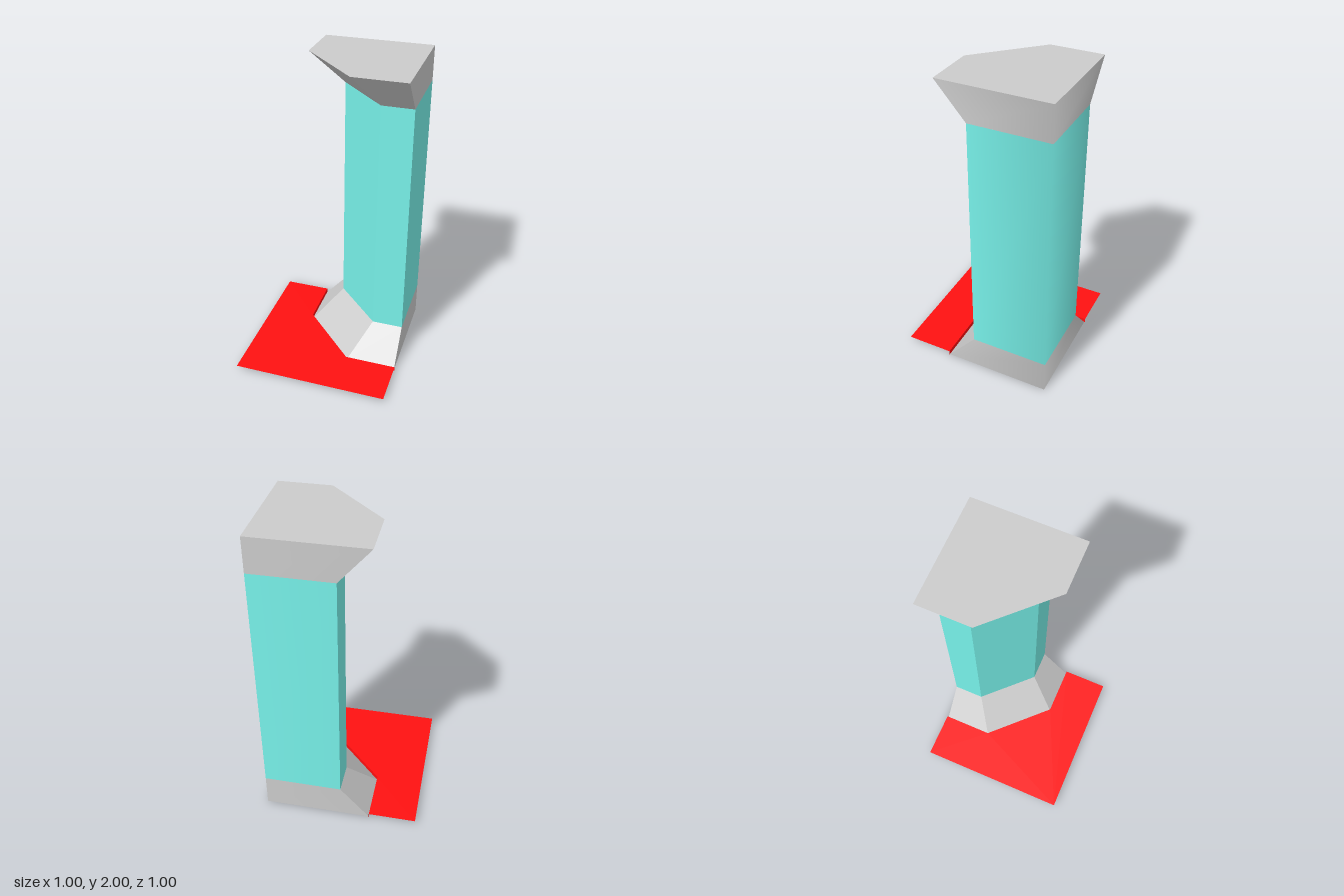
import * as THREE from 'three';

const BACK = 0.495;   // outer faces at x = BACK and z = -BACK
const FLOOR_Y = 0.03;

// Square corner outline with a chamfered inner corner, as [x, z] points.
const outline = (reach, chamfer) => [
  [-reach, -BACK], [BACK, -BACK], [BACK, reach], [chamfer, reach], [-reach, -chamfer],
];
const WIDE = outline(0.195, 0.165);
const NARROW = outline(0.005, 0.295);

// Solid between two outlines; the two outer walls share a softened corner.
function frustum(name, low, y0, high, y1, color) {
  const positions = [], normals = [];
  const soft = new THREE.Vector3(1, 0, -1).normalize();
  const tri = (pts, isSoft = [false, false, false]) => {
    const flat = new THREE.Triangle(...pts).getNormal(new THREE.Vector3());
    pts.forEach((p, i) => {
      positions.push(p.x, p.y, p.z);
      normals.push(...(isSoft[i] ? soft : flat).toArray());
    });
  };
  const at = ([x, z], y) => new THREE.Vector3(x, y, z);
  const bottom = low.map((p) => at(p, y0));
  const top = high.map((p) => at(p, y1));
  for (let i = 0; i < 5; i++) {
    const j = (i + 1) % 5;
    const si = i === 1, sj = j === 1;
    tri([bottom[i], top[i], bottom[j]], [si, si, sj]);
    tri([bottom[j], top[i], top[j]], [sj, si, sj]);
  }
  for (let k = 1; k < 4; k++) {
    tri([bottom[0], bottom[k], bottom[k + 1]]);
    tri([top[0], top[k + 1], top[k]]);
  }
  const geo = new THREE.BufferGeometry();
  geo.setAttribute('position', new THREE.Float32BufferAttribute(positions, 3));
  geo.setAttribute('normal', new THREE.Float32BufferAttribute(normals, 3));
  const mesh = new THREE.Mesh(geo, new THREE.MeshStandardMaterial({ color }));
  mesh.name = name;
  return mesh;
}

// Thin floor around the pillar foot, with a low rim dropping to the ground.
function createFloor() {
  const group = new THREE.Group();
  group.name = 'floor';
  const material = new THREE.MeshStandardMaterial({ color: 0xff1010, side: THREE.DoubleSide });
  const rim = [[0.5, 0.195], [0.165, 0.195], [-0.195, -0.165], [-0.195, -0.5]];

  const shape = new THREE.Shape(
    [...rim, [-0.5, -0.5], [-0.5, 0.5], [0.5, 0.5]].map(([x, z]) => new THREE.Vector2(x, -z)));
  const slab = new THREE.Mesh(new THREE.ShapeGeometry(shape).rotateX(-Math.PI / 2), material);
  slab.position.y = FLOOR_Y;
  slab.name = 'floorSurface';
  group.add(slab);

  for (let i = 0; i < rim.length - 1; i++) {
    const [ax, az] = rim[i], [bx, bz] = rim[i + 1];
    const dx = bx - ax, dz = bz - az;
    const wall = new THREE.Mesh(new THREE.PlaneGeometry(Math.hypot(dx, dz), FLOOR_Y), material);
    wall.position.set((ax + bx) / 2, FLOOR_Y / 2, (az + bz) / 2);
    wall.rotation.y = Math.atan2(-dz, dx);
    wall.name = 'floorRim';
    group.add(wall);
  }
  return group;
}

export function createModel() {
  const model = new THREE.Group();
  model.name = 'cornerPillar';
  model.add(
    frustum('base', WIDE, 0, NARROW, 0.22, 0xcccccc),
    frustum('shaft', NARROW, 0.22, NARROW, 1.78, 0x78f2ea),
    frustum('capital', NARROW, 1.78, WIDE, 2, 0xcccccc),
    createFloor(),
  );
  return model;
}
